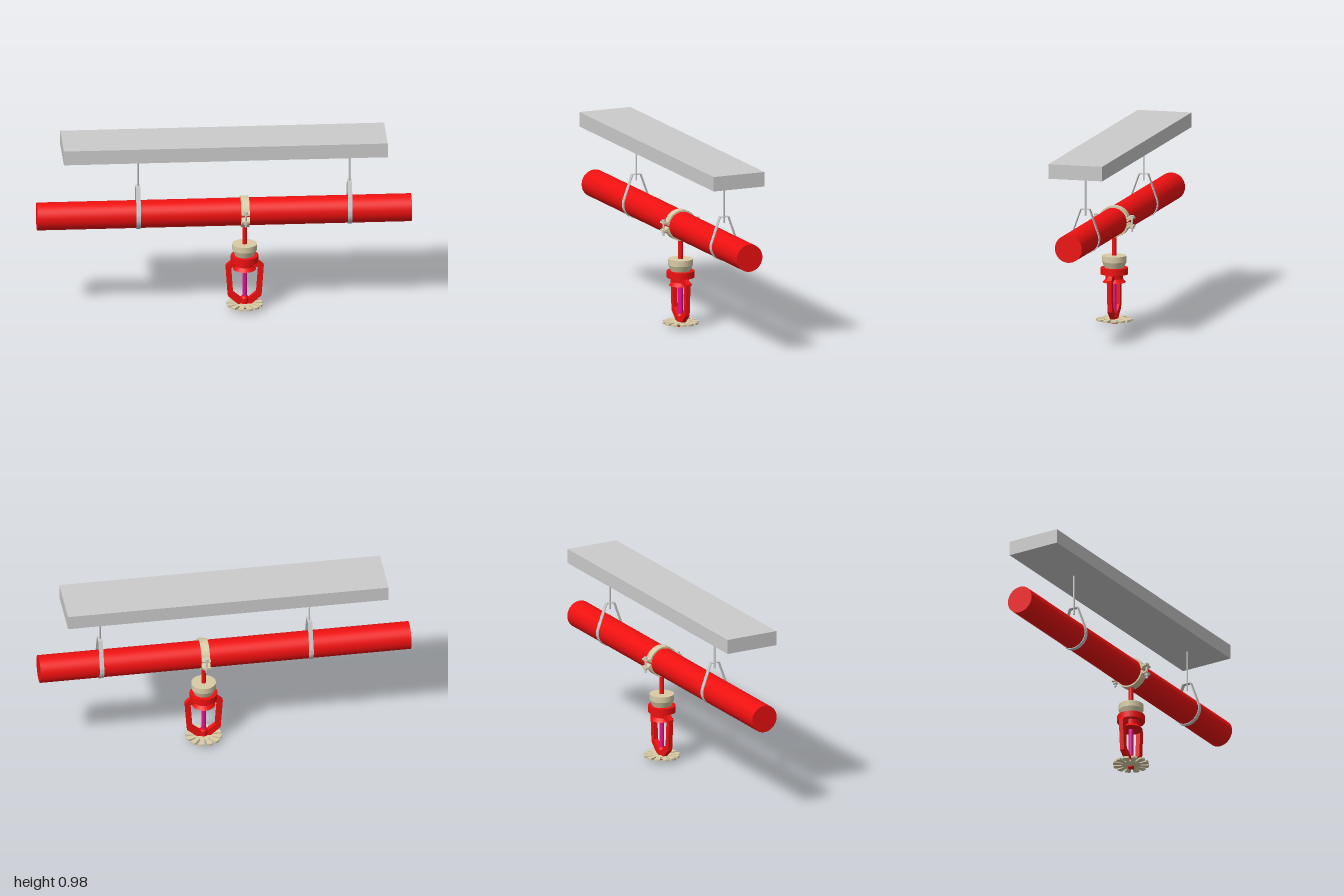
import * as THREE from 'three';
import { toCreasedNormals } from 'three/addons/utils/BufferGeometryUtils.js';

const mat = (color) => new THREE.MeshStandardMaterial({ color });
const GREY = mat(0xcccccc), RED = mat(0xf01010), BEIGE = mat(0xd8cba6), PINK = mat(0xe6108f);
const PIPE_Y = 0.555, HEAD_X = 0.11;

function add(parent, name, geometry, material, x = 0, y = 0, z = 0) {
  const mesh = new THREE.Mesh(geometry, material);
  mesh.name = name;
  mesh.position.set(x, y, z);
  parent.add(mesh);
  return mesh;
}

// Vertical cylinder or cone between two heights
function column(parent, name, material, y0, y1, r0, r1 = r0, sides = 32, x = 0, z = 0) {
  return add(parent, name, new THREE.CylinderGeometry(r1, r0, y1 - y0, sides), material, x, (y0 + y1) / 2, z);
}

function extrude(shape, depth) {
  const geo = new THREE.ExtrudeGeometry(shape, { depth, bevelEnabled: false, curveSegments: 32 });
  geo.translate(0, 0, -depth / 2);
  return toCreasedNormals(geo, 0.5);
}

// Turns a profile drawn in (z, y) so that its thickness runs along x
const extrudeAlongX = (shape, width) => extrude(shape, width).rotateY(-Math.PI / 2);

// Pear-shaped loop: straight sloping sides meeting an arc below
function loopPath(path, r, halfTop, top) {
  const a = 0.36;
  path.moveTo(halfTop, top);
  path.lineTo(-halfTop, top);
  path.lineTo(-r * Math.cos(a), r * Math.sin(a));
  path.absarc(0, 0, r, Math.PI - a, 2 * Math.PI + a, false);
  path.closePath();
  return path;
}

function createHanger(x) {
  const hanger = new THREE.Group();
  hanger.name = 'pipeHanger';
  hanger.position.x = x;
  column(hanger, 'hangerRod', GREY, 0.68, 0.906, 0.005, 0.005, 16);
  const strap = loopPath(new THREE.Shape(), 0.0795, 0.026, 0.162);
  strap.holes.push(loopPath(new THREE.Path(), 0.0755, 0.0232, 0.158));
  add(hanger, 'hangerStrap', extrudeAlongX(strap, 0.024), GREY, 0, PIPE_Y);
  return hanger;
}

// Split collar with a bolted lug on each side
function createClamp() {
  const clamp = new THREE.Group();
  clamp.name = 'pipeClamp';
  clamp.position.set(HEAD_X, PIPE_Y, 0);
  const half = new THREE.Shape();
  half.absarc(0, 0, 0.084, 0.36, Math.PI - 0.36, false);
  const lug = [[0.088, 0.026], [0.11, 0.026], [0.11, 0.017], [0.092, 0.015], [0.081, 0.004], [0.075, 0.004]];
  lug.forEach(([z, y]) => half.lineTo(-z, y));
  half.absarc(0, 0, 0.0752, Math.PI - 0.05, 0.05, true);
  [...lug].reverse().forEach(([z, y]) => half.lineTo(z, y));
  half.closePath();
  const geo = extrudeAlongX(half, 0.045);
  add(clamp, 'upperCollar', geo, BEIGE);
  add(clamp, 'lowerCollar', geo, BEIGE).rotation.x = Math.PI;
  for (const z of [-0.099, 0.099]) {
    column(clamp, 'clampBolt', GREY, -0.052, 0.036, 0.0055, 0.0055, 12, 0, z);
    column(clamp, 'boltHead', GREY, 0.026, 0.036, 0.0125, 0.0125, 6, 0, z);
    column(clamp, 'boltNut', GREY, -0.036, -0.026, 0.0125, 0.0125, 6, 0, z);
  }
  return clamp;
}

// Slotted disc at the foot of the sprinkler
function deflectorGeometry(teeth = 12) {
  const shape = new THREE.Shape();
  const step = (2 * Math.PI) / teeth;
  const at = (r, a) => [r * Math.cos(a), r * Math.sin(a)];
  for (let i = 0; i < teeth; i++) {
    const a = i * step;
    const corners = [[0.05, 0.1], [0.094, 0.1], [0.097, 0.3], [0.097, 0.6], [0.094, 0.8], [0.05, 0.8]];
    corners.forEach(([r, t], k) => {
      const p = at(r, a + t * step);
      if (i === 0 && k === 0) shape.moveTo(...p);
      else shape.lineTo(...p);
    });
  }
  shape.closePath();
  return extrude(shape, 0.011).rotateX(-Math.PI / 2);
}

function createSprinkler() {
  const head = new THREE.Group();
  head.name = 'sprinklerHead';
  head.position.x = HEAD_X;
  column(head, 'dropNipple', RED, 0.36, 0.482, 0.0125, 0.0125, 24);
  column(head, 'couplingTop', BEIGE, 0.338, 0.37, 0.066);
  column(head, 'couplingTaper', BEIGE, 0.305, 0.338, 0.052, 0.066);
  column(head, 'flange', RED, 0.27, 0.305, 0.074);
  column(head, 'neck', RED, 0.243, 0.27, 0.046);
  column(head, 'seatCone', RED, 0.235, 0.25, 0.054, 0.042);
  column(head, 'seatRim', RED, 0.226, 0.235, 0.062, 0.054);
  column(head, 'heatBulb', PINK, 0.06, 0.23, 0.0125, 0.0125, 24);

  // Mirrored yoke arms
  const arm = new THREE.Shape([
    [0.04, 0.27], [0.08, 0.268], [0.102, 0.248], [0.09, 0.075], [0.03, 0.022], [0, 0.022],
    [0, 0.062], [0.022, 0.062], [0.062, 0.095], [0.072, 0.236], [0.04, 0.243],
  ].map(([x, y]) => new THREE.Vector2(x, y)));
  const armGeo = extrude(arm, 0.025);
  add(head, 'leftYokeArm', armGeo, RED);
  add(head, 'rightYokeArm', armGeo, RED).rotation.y = Math.PI;

  column(head, 'yokeBoss', RED, 0.03, 0.06, 0.022, 0.022, 24);
  column(head, 'yokeBossTop', RED, 0.06, 0.072, 0.022, 0.016, 24);
  add(head, 'deflector', deflectorGeometry(), BEIGE, 0, 0.0235);
  column(head, 'deflectorHub', BEIGE, 0.008, 0.018, 0.032, 0.05);
  column(head, 'deflectorScrew', RED, 0, 0.03, 0.016, 0.02, 24);
  return head;
}

export function createModel() {
  const model = new THREE.Group();
  model.name = 'sprinklerPipeAssembly';
  add(model, 'ceilingSlab', new THREE.BoxGeometry(1.73, 0.079, 0.298), GREY, 0, 0.945);
  const pipe = new THREE.CylinderGeometry(0.0745, 0.0745, 2, 48).rotateZ(Math.PI / 2);
  add(model, 'mainPipe', pipe, RED, 0, PIPE_Y);
  for (const x of [-0.46, 0.67]) model.add(createHanger(x));
  model.add(createClamp(), createSprinkler());
  return model;
}
